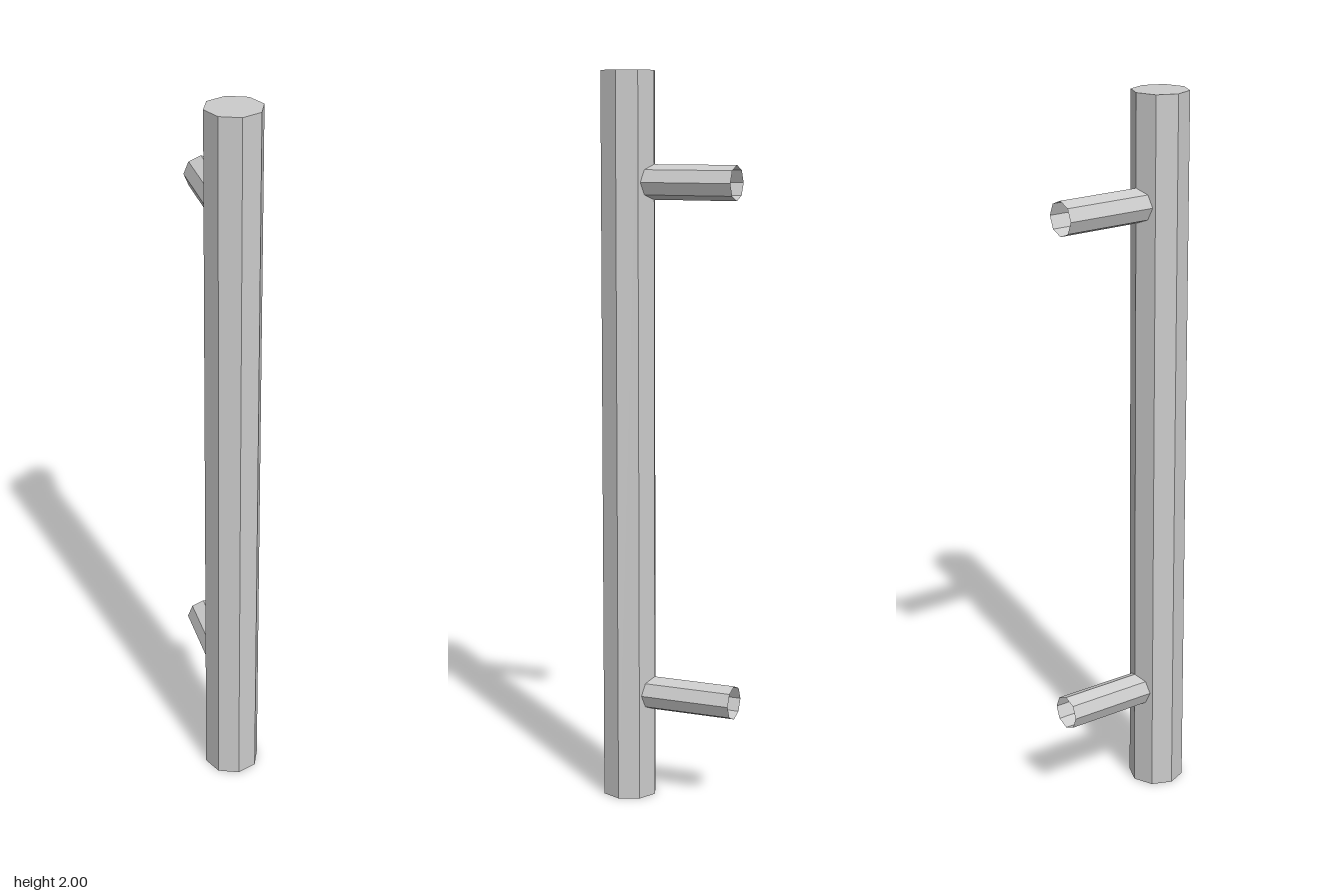
import * as THREE from 'three';

const BAR_RADIUS = 0.077, BAR_Z = 0.119, BAR_LENGTH = 2;
const POST_RADIUS = 0.047, POST_BACK = -0.196, POST_FRONT = 0.07;
const POST_OFFSET = 0.706; // distance of each post from the bar's middle

export function createModel() {
  const group = new THREE.Group();
  group.name = 'pullHandle';
  const solid = new THREE.MeshStandardMaterial({ color: 0xcccccc, flatShading: true });
  const open = new THREE.MeshStandardMaterial({ color: 0xcccccc, flatShading: true, side: THREE.DoubleSide });

  // Upright octagonal grip bar, capped at both ends
  const bar = new THREE.Mesh(new THREE.CylinderGeometry(BAR_RADIUS, BAR_RADIUS, BAR_LENGTH, 8), solid);
  bar.name = 'gripBar';
  bar.position.set(0, BAR_LENGTH / 2, BAR_Z);
  group.add(bar);

  // Two open octagonal tubes running back from the bar
  const postGeometry = new THREE.CylinderGeometry(POST_RADIUS, POST_RADIUS, POST_FRONT - POST_BACK, 8, 1, true);
  postGeometry.rotateX(Math.PI / 2);
  for (const [name, side] of [['upperPost', 1], ['lowerPost', -1]]) {
    const post = new THREE.Mesh(postGeometry, open);
    post.name = name;
    post.position.set(0, BAR_LENGTH / 2 + side * POST_OFFSET, (POST_FRONT + POST_BACK) / 2);
    group.add(post);
  }
  return group;
}
